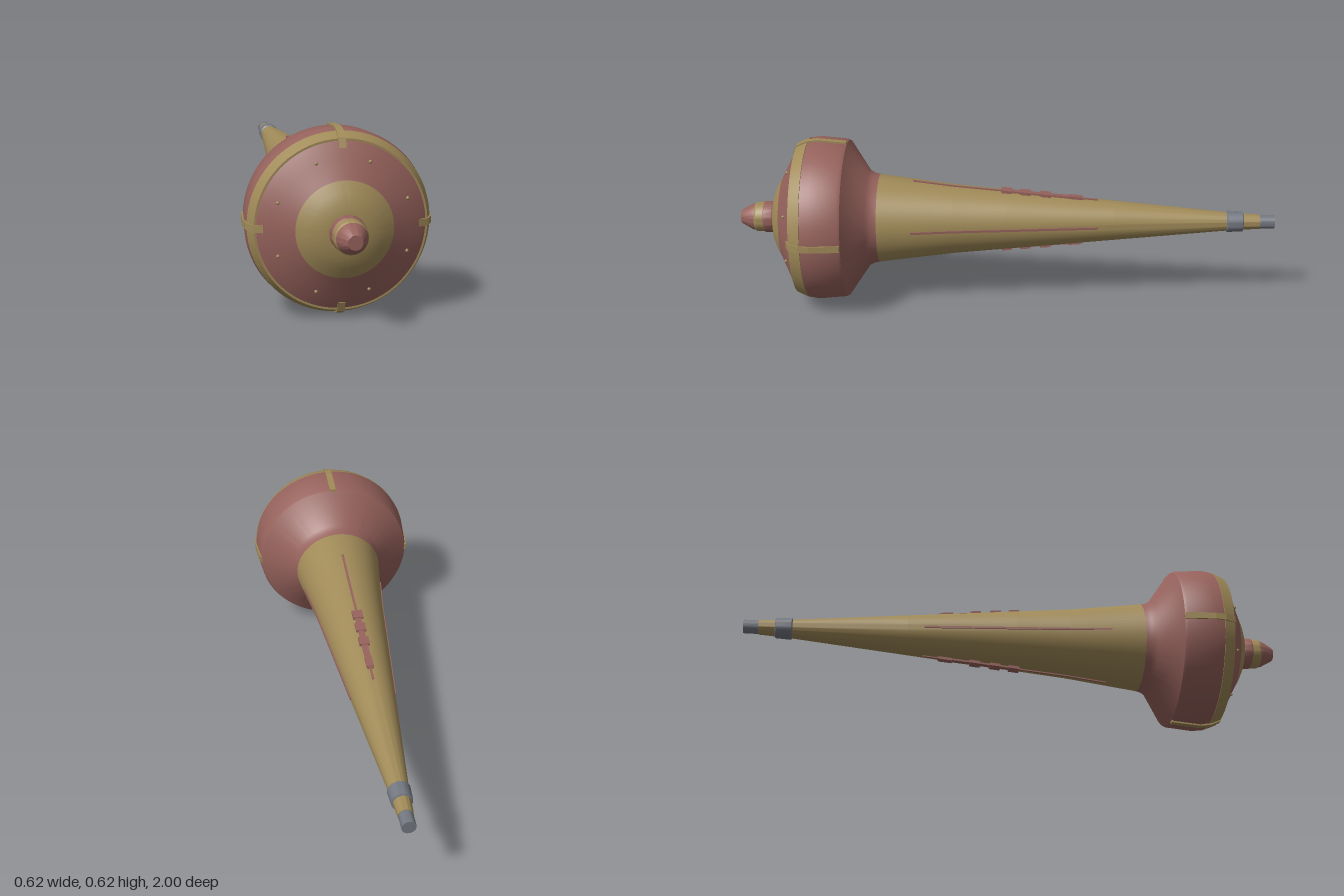
import * as THREE from 'three';
import { toCreasedNormals } from 'three/addons/utils/BufferGeometryUtils.js';

const mat = (name, color) => {
  const m = new THREE.MeshStandardMaterial({ color });
  m.name = name;
  return m;
};

export function createModel() {
  const red = mat('dusty red', 0x96625c);
  const tan = mat('tan', 0xa08a58);
  const grey = mat('steel grey', 0x737780);

  const model = new THREE.Group();
  model.name = 'spindle';
  const body = new THREE.Group();
  body.name = 'body';
  body.position.y = 0.312; // height of the long axis
  model.add(body);

  const add = (name, geo, material, parent = body) => {
    const mesh = new THREE.Mesh(geo, material);
    mesh.name = name;
    parent.add(mesh);
    return mesh;
  };

  // Turned part: [z, radius] points listed from back to front
  const turned = (name, pts, material, seg = 64) => {
    const g = new THREE.LatheGeometry(pts.map(([z, r]) => new THREE.Vector2(r, z)), seg);
    g.rotateX(Math.PI / 2);
    return add(name, toCreasedNormals(g, 0.5), material);
  };

  // Side profile in [z, radius], given a width across the x axis
  const profilePlate = (pts, width) => {
    const shape = new THREE.Shape(pts.map(([z, r]) => new THREE.Vector2(z, r)));
    const g = new THREE.ExtrudeGeometry(shape, { depth: width, bevelEnabled: false });
    g.translate(0, 0, -width / 2);
    g.rotateY(-Math.PI / 2);
    return g;
  };

  // Tail cone and end fittings
  const coneR = z => z > 0.2 ? 0.13 + (z - 0.2) * 0.127 : 0.13 + (z - 0.2) * 0.093;
  turned('tailCone', [[-0.945, 0], [-0.945, 0.027], [-0.88, 0.031],
    ...[-0.82, -0.4, 0, 0.2, 0.475].map(z => [z, coneR(z)])], tan);
  turned('tailCollar', [[-0.885, 0.03], [-0.882, 0.037], [-0.825, 0.04], [-0.82, 0.034]], grey, 32);
  turned('tailPipe', [[-1, 0], [-1, 0.025], [-0.94, 0.025], [-0.94, 0]], grey, 32);

  // Bulging hull
  turned('hullRear', [[0.475, 0.165], [0.495, 0.169], [0.515, 0.18], [0.59, 0.292],
    [0.6, 0.297], [0.7, 0.306], [0.735, 0.3]], red, 96);
  turned('rimBand', [[0.733, 0.298], [0.735, 0.302], [0.768, 0.288], [0.777, 0.284], [0.777, 0.277]], tan, 96);
  turned('frontFace', [[0.773, 0.28], [0.787, 0.256], [0.802, 0.225], [0.835, 0.16]], red, 96);
  turned('frontDish', [[0.835, 0.16], [0.855, 0.125], [0.868, 0.095], [0.876, 0.06], [0.877, 0]], tan, 96);

  // Nose
  turned('noseBase', [[0.87, 0.054], [0.88, 0.059], [0.91, 0.058], [0.915, 0.054]], red, 48);
  turned('noseRing', [[0.912, 0.056], [0.94, 0.055], [0.948, 0.05]], tan, 48);
  turned('noseTip', [[0.947, 0.051], [0.958, 0.048], [0.996, 0.027], [1, 0.024], [1, 0]], red, 48);

  // Rivets around the front face
  for (let i = 0; i < 8; i++) {
    const a = Math.PI / 8 + i * Math.PI / 4;
    const rivet = add('rivet', new THREE.SphereGeometry(0.006, 12, 8), tan);
    rivet.position.set(Math.cos(a) * 0.228, Math.sin(a) * 0.228, 0.802);
  }

  // Rim clamps and raised strips on four sides, control plates above and below
  const clampGeo = profilePlate([[0.59, 0.28], [0.77, 0.25], [0.785, 0.255], [0.791, 0.256],
    [0.778, 0.288], [0.74, 0.306], [0.7, 0.311], [0.592, 0.302]], 0.024);
  const raised = (z0, z1, h, width) => {
    const zs = z0 < 0.2 && z1 > 0.2 ? [z0, 0.2, z1] : [z0, z1];
    return profilePlate([...zs.map(z => [z, coneR(z) - 0.008]),
      ...zs.reverse().map(z => [z, coneR(z) + h])], width);
  };
  const stripGeo = raised(-0.34, 0.35, 0.004, 0.008);
  const plates = [[-0.285, 0.02, 0.006, 0.022], [-0.165, -0.125, 0.009, 0.038],
    [-0.09, -0.05, 0.009, 0.038], [-0.02, 0.02, 0.009, 0.038], [-0.28, -0.23, 0.009, 0.026]];
  for (let i = 0; i < 4; i++) {
    const side = new THREE.Group();
    side.name = 'sideDetails';
    side.rotation.z = i * Math.PI / 2;
    body.add(side);
    add('rimClamp', clampGeo, tan, side);
    add('raisedStrip', stripGeo, red, side);
    if (i % 2 === 0) for (const p of plates) add('controlPlate', raised(...p), red, side);
  }
  return model;
}
